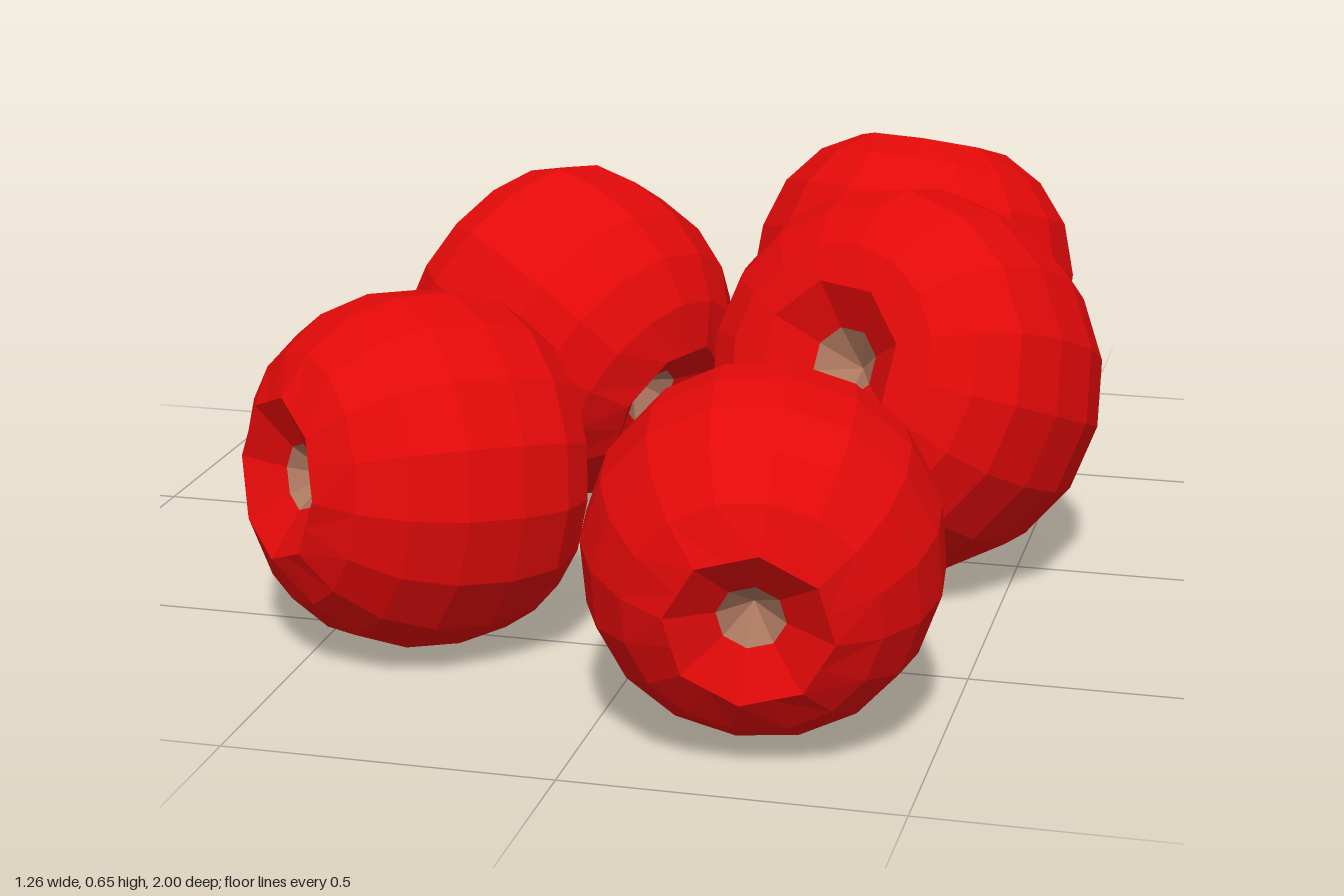
import * as THREE from 'three';

const SIDES = 16;

// Lathe whose rings marked 8 are squeezed from sixteen sides to an octagon
function ringLathe(rings) {
  const geo = new THREE.LatheGeometry(rings.map(([r, y]) => new THREE.Vector2(r, y)), SIDES);
  const pos = geo.attributes.position;
  const squeeze = Math.cos(Math.PI / 8);
  for (let i = 0; i < pos.count; i++) {
    const side = Math.floor(i / rings.length);
    const octagon = rings[i % rings.length][2] === 8;
    if (octagon && side % 2 === 1) {
      pos.setX(i, pos.getX(i) * squeeze);
      pos.setZ(i, pos.getZ(i) * squeeze);
    }
  }
  geo.computeVertexNormals();
  return geo;
}

export function createModel() {
  const model = new THREE.Group();
  model.name = 'fruitPile';

  const red = new THREE.MeshStandardMaterial({ color: 0xe30909, flatShading: true });
  red.name = 'red skin';
  const brown = new THREE.MeshStandardMaterial({ color: 0xad7860, flatShading: true });
  brown.name = 'brown core';

  // Unit fruit: broad end at -y, narrow end at +y, a dimple in each
  const skin = ringLathe([
    [0.19, -0.6, 8], [0.41, -0.76, 8], [0.6, -0.74], [0.8, -0.63],
    [0.94, -0.43], [1.0, -0.13], [0.99, 0.2], [0.89, 0.5],
    [0.7, 0.73], [0.46, 0.87, 8], [0.19, 0.72, 8],
  ]);
  const lowerCore = ringLathe([[0, -0.42], [0.19, -0.6, 8]]);
  const upperCore = ringLathe([[0.19, 0.72, 8], [0, 0.54]]);

  // Centre of the extents, radius, direction of the narrow end
  const fruits = [
    ['frontRightFruit', [-0.355, 0.273, 0.525], 0.275, [-0.69, 0.1, 0.71]],
    ['frontLeftFruit', [0.24, 0.27, 0.763], 0.262, [0.13, -0.17, 0.97]],
    ['middleLeftFruit', [0.315, 0.328, 0.05], 0.311, [0.38, -0.36, -0.85]],
    ['middleRightFruit', [-0.32, 0.295, -0.195], 0.284, [0.82, -0.4, 0.4]],
    ['backFruit', [0.188, 0.29, -0.702], 0.298, [0.09, 0.95, -0.3]],
  ];

  const up = new THREE.Vector3(0, 1, 0);
  for (const [name, centre, radius, axis] of fruits) {
    const fruit = new THREE.Group();
    fruit.name = name;
    const parts = [['skin', skin, red], ['lowerCore', lowerCore, brown], ['upperCore', upperCore, brown]];
    for (const [part, geo, material] of parts) {
      const mesh = new THREE.Mesh(geo, material);
      mesh.name = part;
      fruit.add(mesh);
    }
    fruit.scale.setScalar(radius);
    fruit.quaternion.setFromUnitVectors(up, new THREE.Vector3(...axis).normalize());
    fruit.updateMatrixWorld(true);
    const middle = new THREE.Box3().setFromObject(fruit, true).getCenter(new THREE.Vector3());
    fruit.position.set(...centre).sub(middle);
    model.add(fruit);
  }
  return model;
}
